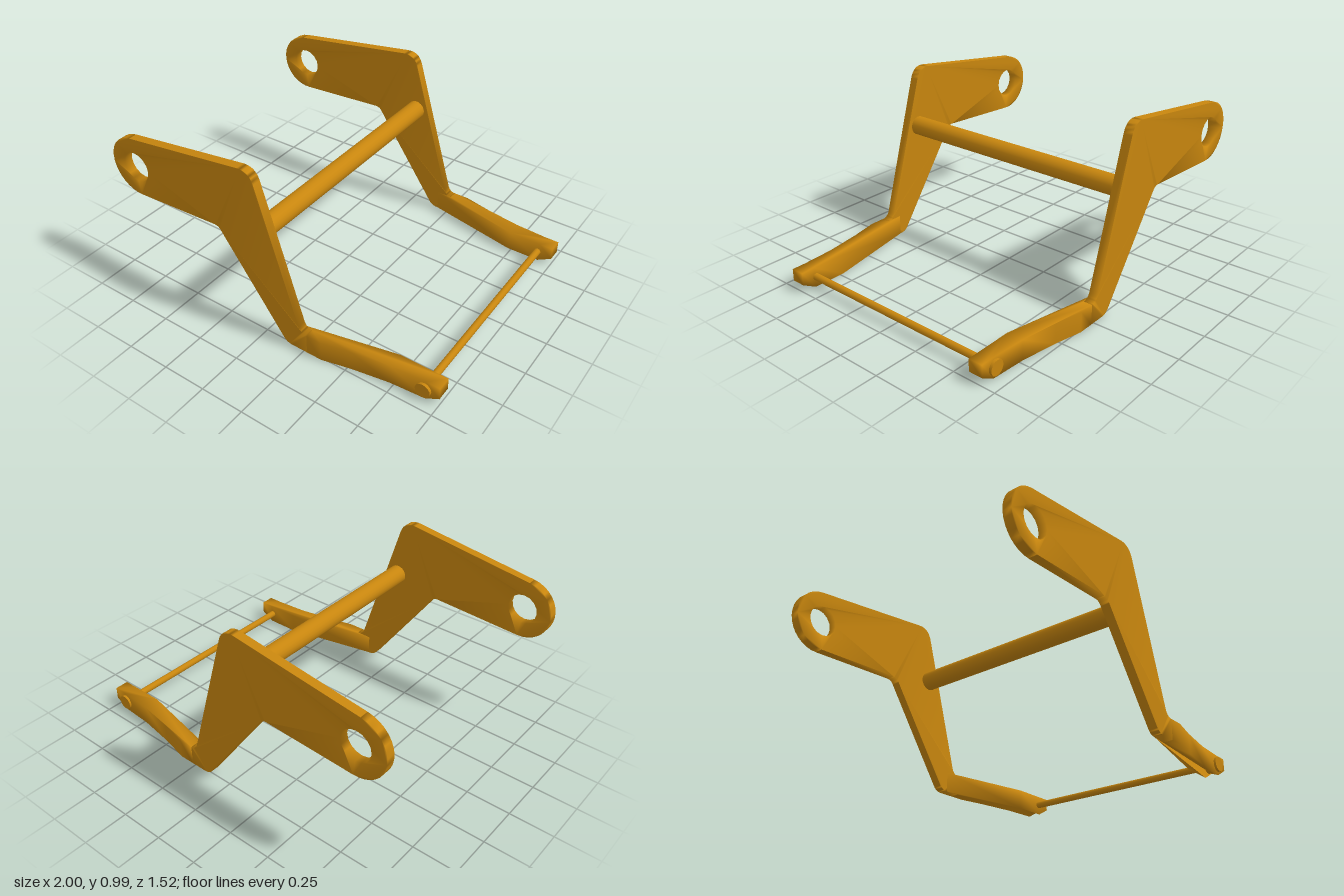
import * as THREE from 'three';
import { mergeVertices } from 'three/addons/utils/BufferGeometryUtils.js';

const material = new THREE.MeshStandardMaterial({ color: 0xc8860e });

// Share vertices across edges so the shading rolls softly over the rim.
function soften(geometry) {
  geometry.deleteAttribute('normal');
  geometry.deleteAttribute('uv');
  const merged = mergeVertices(geometry, 1e-4);
  merged.computeVertexNormals();
  return merged;
}

function addPart(parent, name, geometry) {
  const mesh = new THREE.Mesh(geometry, material);
  mesh.name = name;
  parent.add(mesh);
  return mesh;
}

// Cylinder lying along z between two depths.
function addRod(parent, name, x, y, radius, z0, z1, sides) {
  const geometry = new THREE.CylinderGeometry(radius, radius, Math.abs(z1 - z0), sides);
  geometry.rotateX(Math.PI / 2);
  addPart(parent, name, geometry).position.set(x, y, (z0 + z1) / 2);
}

// Flat arm: round eye, wide shoulder and a leg tapering to the foot.
function armGeometry(side) {
  const eye = [-0.83, 0.72];
  const shape = new THREE.Shape();
  shape.moveTo(-0.85, 0.889);
  shape.lineTo(-0.11, 0.99);
  shape.bezierCurveTo(-0.06, 0.995, -0.03, 0.975, -0.015, 0.93);
  shape.lineTo(0.222, 0.155);
  shape.quadraticCurveTo(0.235, 0.115, 0.27, 0.115);
  shape.lineTo(0.27, 0);
  shape.lineTo(0.175, 0);
  shape.quadraticCurveTo(0.14, 0, 0.12, 0.03);
  shape.lineTo(-0.255, 0.555);
  shape.quadraticCurveTo(-0.27, 0.58, -0.3, 0.578);
  shape.lineTo(-0.82, 0.55);
  shape.absarc(...eye, 0.17, -1.51, -Math.PI * 1.46, true);
  const hole = new THREE.Path();
  hole.absarc(...eye, 0.086, 0, Math.PI * 2, false);
  shape.holes.push(hole);
  const geometry = new THREE.ExtrudeGeometry(shape, { depth: 0.05, bevelEnabled: false, curveSegments: 8 });
  geometry.translate(0, 0, side > 0 ? 0.712 : -0.762);
  return soften(geometry);
}

// Foot: plan outline that steps inward, raised to height, tip cut underneath.
function footGeometry(side) {
  const plan = [
    [0.18, 0.712], [0.27, 0.712], [0.27, 0.762], [0.36, 0.762], [0.52, 0.725], [0.73, 0.69],
    [0.92, 0.677], [1, 0.677], [1, 0.597], [0.92, 0.597], [0.73, 0.597],
  ];
  const shape = new THREE.Shape(plan.map(([x, z]) => new THREE.Vector2(x, -z * side)));
  const geometry = new THREE.ExtrudeGeometry(shape, { depth: 0.115, bevelEnabled: false });
  geometry.rotateX(-Math.PI / 2);
  const p = geometry.attributes.position;
  for (let i = 0; i < p.count; i++) {
    if (p.getX(i) > 0.99 && p.getY(i) < 0.01) p.setY(i, 0.045);
  }
  return soften(geometry);
}

export function createModel() {
  const model = new THREE.Group();
  model.name = 'liftFrame';

  for (const side of [1, -1]) {
    const arm = new THREE.Group();
    arm.name = side > 0 ? 'frontArm' : 'backArm';
    addPart(arm, 'armPlate', armGeometry(side));
    addPart(arm, 'foot', footGeometry(side));
    addRod(arm, 'pinHead', 0.912, 0.06, 0.042, side * 0.62, side * 0.692, 16);
    model.add(arm);
  }

  // Bars joining the two arms
  addRod(model, 'crossBar', -0.01, 0.647, 0.055, -0.715, 0.715, 20);
  addRod(model, 'tipRod', 0.912, 0.06, 0.02, -0.605, 0.605, 12);
  return model;
}
